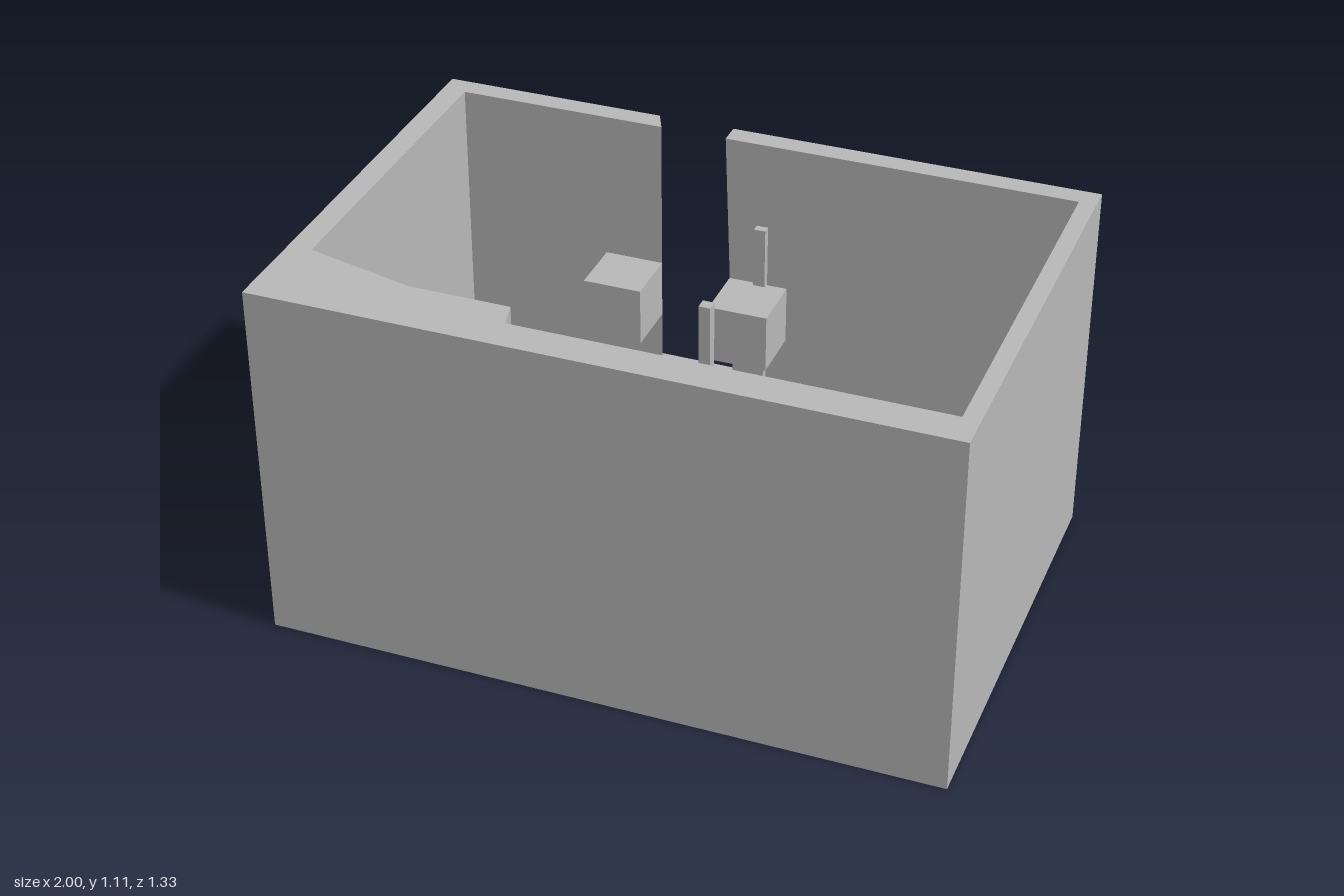
import * as THREE from 'three';

const HEIGHT = 1.11, BASE = 0.285, FLOOR = 0.295;
const X = 1, Z = 0.665;

// Inner outline of the room in plan, as [x, z]
const ROOM = [
  [-0.10, -0.60], [0.95, -0.60], [0.95, 0.56], [-0.285, 0.56],
  [-0.305, 0.48], [-0.60, 0.48], [-0.93, 0.40], [-0.93, -0.60], [-0.30, -0.60],
];

// Raises a plan outline from y0 to y1
function raise(points, y0, y1) {
  const shape = new THREE.Shape(points.map(([x, z]) => new THREE.Vector2(x, -z)));
  const geo = new THREE.ExtrudeGeometry(shape, { depth: y1 - y0, bevelEnabled: false });
  return geo.rotateX(-Math.PI / 2).translate(0, y0, 0);
}

function block(x0, x1, y0, y1, z0, z1) {
  return new THREE.BoxGeometry(x1 - x0, y1 - y0, z1 - z0)
    .translate((x0 + x1) / 2, (y0 + y1) / 2, (z0 + z1) / 2);
}

export function createModel() {
  const group = new THREE.Group();
  const grey = new THREE.MeshStandardMaterial({ color: 0xb8b8b8 });
  grey.name = 'plain grey';
  const add = (name, geo) => {
    const mesh = new THREE.Mesh(geo, grey);
    mesh.name = name;
    group.add(mesh);
  };

  // Solid base, floor of the room
  add('base', block(-X, X, 0, BASE, -Z, Z));
  add('floor', raise(ROOM, BASE, FLOOR));

  // Walls as one ring, left open at the doorway in the back
  const outer = [[-0.33, -Z], [-X, -Z], [-X, Z], [X, Z], [X, -Z], [-0.10, -Z]];
  const walls = raise([...outer, ...ROOM], BASE, HEIGHT);
  // One doorway jamb leans: the opening is wider at its foot
  const p = walls.attributes.position;
  for (let i = 0; i < p.count; i++) {
    if (Math.abs(p.getX(i) + 0.10) < 0.001 && p.getY(i) < BASE + 0.01) p.setX(i, -0.07);
  }
  walls.computeVertexNormals();
  add('walls', walls);

  // Sill of the doorway, sloping slightly outward
  const wedge = new THREE.Shape([
    new THREE.Vector2(Z, BASE), new THREE.Vector2(0.60, BASE), new THREE.Vector2(0.60, FLOOR),
  ]);
  const sill = new THREE.ExtrudeGeometry(wedge, { depth: 0.25, bevelEnabled: false });
  add('doorSill', sill.rotateY(Math.PI / 2).translate(-0.325, 0, 0));

  // Raised boxes either side of the doorway
  add('rightWallBox', block(-0.48, -0.30, 0.47, 0.65, -0.60, -0.42));
  add('leftWallBox', block(-0.08, 0.10, 0.47, 0.65, -0.59, -0.41));

  // Low furniture by the left wall
  add('bench', block(0.49, 0.63, FLOOR, 0.45, -0.12, 0.08));
  add('sideTable', block(0.79, 0.95, FLOOR, 0.55, -0.125, 0.03));

  // Row of slim posts across the room
  for (const z of [-0.593, -0.13, 0.19, 0.40]) {
    add('post', block(0, 0.035, FLOOR, 0.84, z - 0.0175, z + 0.0175));
  }
  return group;
}
